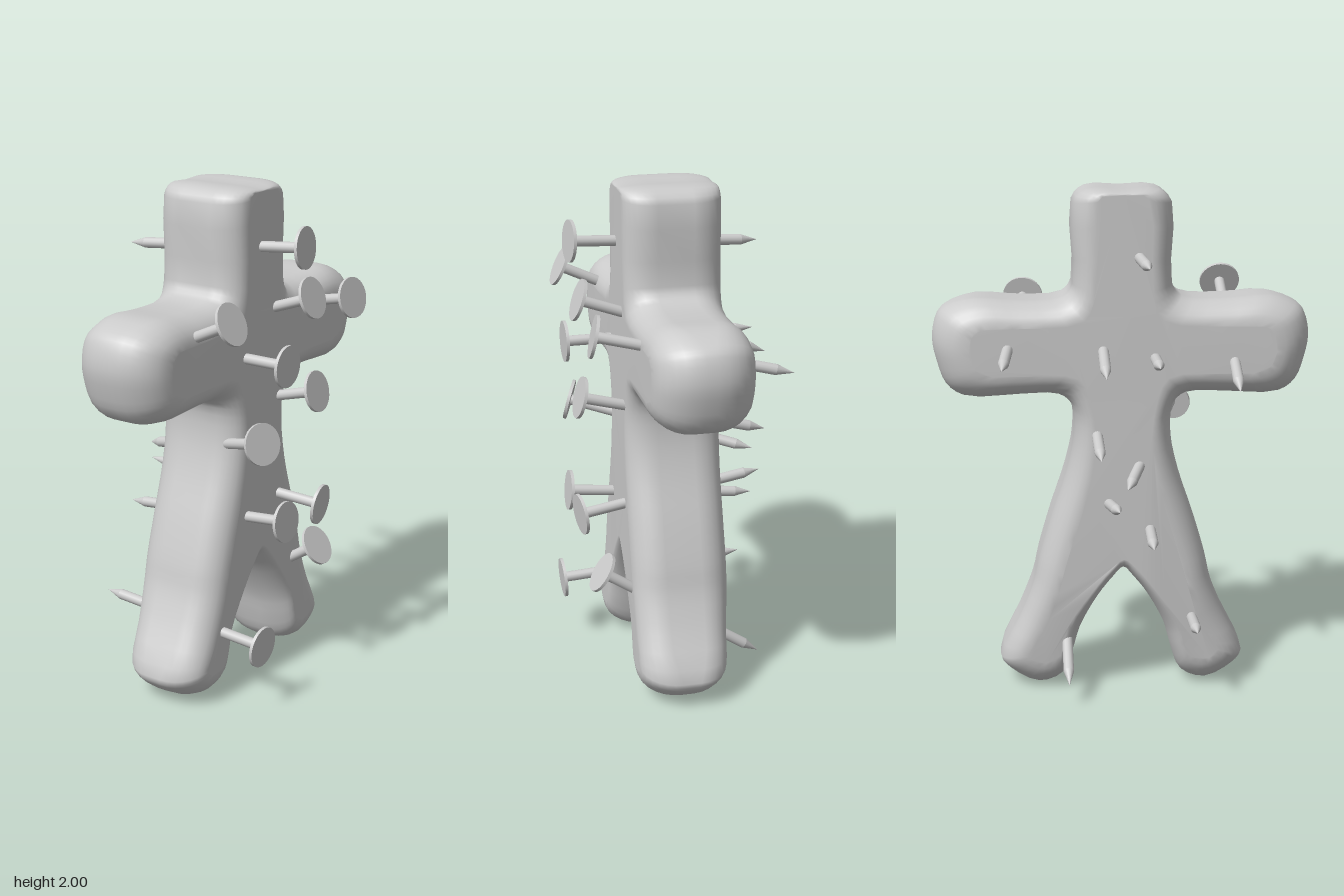
import * as THREE from 'three';

const grey = new THREE.MeshStandardMaterial({ color: 0xcccccc });

// Half outline of the doll, top of head to crotch:
// [x, y] on the widest contour, then [x, y] on the flat front and back faces
const HALF = [
  [0, 2.0, 0, 1.985], [0.14, 2.0, 0.07, 1.985], [0.19, 1.95, 0.10, 1.96], [0.192, 1.64, 0.11, 1.62],
  [0.23, 1.59, 0.15, 1.51], [0.40, 1.578, 0.38, 1.485], [0.57, 1.588, 0.50, 1.485], [0.68, 1.555, 0.56, 1.475],
  [0.715, 1.52, 0.58, 1.45], [0.735, 1.43, 0.59, 1.40], [0.72, 1.34, 0.58, 1.35], [0.685, 1.25, 0.56, 1.32],
  [0.62, 1.207, 0.50, 1.30], [0.40, 1.212, 0.36, 1.30], [0.25, 1.21, 0.17, 1.285], [0.20, 1.17, 0.12, 1.16],
  [0.19, 1.05, 0.11, 1.05], [0.22, 0.90, 0.13, 0.88], [0.28, 0.72, 0.18, 0.70], [0.33, 0.55, 0.23, 0.54],
  [0.355, 0.44, 0.26, 0.42], [0.41, 0.30, 0.32, 0.26], [0.49, 0.12, 0.38, 0.16], [0.46, 0.07, 0.36, 0.13],
  [0.34, 0.005, 0.31, 0.12], [0.24, 0.04, 0.26, 0.14], [0.20, 0.14, 0.24, 0.19], [0.17, 0.25, 0.22, 0.28],
  [0.10, 0.385, 0.13, 0.42], [0.04, 0.465, 0.05, 0.52], [0, 0.505, 0, 0.56],
];

// Closed smooth contour through both halves, counter-clockwise from the front
function contour(k) {
  const right = HALF.map((p) => new THREE.Vector3(p[k], p[k + 1], 0));
  const left = right.slice(1, -1).reverse().map((p) => new THREE.Vector3(-p.x, p.y, 0));
  const pts = [...right, ...left].reverse();
  const curve = new THREE.CatmullRomCurve3(pts, true);
  const n = pts.length * 3;
  return Array.from({ length: n }, (_, i) => curve.getPoint(i / n));
}

// Depth of the rounding: deeper at the hands and feet, so that they taper
function roundingDepth(p) {
  const hand = THREE.MathUtils.smoothstep(Math.abs(p.x), 0.5, 0.73);
  const foot = 1 - THREE.MathUtils.smoothstep(p.y, 0.03, 0.25);
  return 0.12 + 0.05 * Math.max(hand, foot);
}

// Body: layers from front to back, rounded over at both faces
function bodyGeometry() {
  const outer = contour(0), inner = contour(2), n = outer.length, steps = 7;
  const layers = [];
  for (let s = 0; s <= steps; s++) layers.push([0.195, s]);
  for (let s = steps; s >= 0; s--) layers.push([-0.185, s]);
  const pos = [], index = [];
  for (const [face, s] of layers) {
    const a = (s / steps) * Math.PI / 2;
    for (let i = 0; i < n; i++) {
      const p = inner[i].clone().lerp(outer[i], Math.sin(a));
      const z = face - Math.sign(face) * roundingDepth(outer[i]) * (1 - Math.cos(a));
      // the lower legs are slightly thinner at the back
      const thin = z < 0 ? 1 - 0.2 * (1 - THREE.MathUtils.smoothstep(p.y, 0.05, 0.5)) : 1;
      pos.push(p.x, p.y, z * thin);
    }
  }
  for (let k = 0; k < layers.length - 1; k++) {
    for (let i = 0; i < n; i++) {
      const a = k * n + i, b = k * n + (i + 1) % n, c = a + n, d = b + n;
      index.push(a, c, b, b, c, d);
    }
  }
  const last = (layers.length - 1) * n;
  for (const [a, b, c] of THREE.ShapeUtils.triangulateShape(inner.map((p) => new THREE.Vector2(p.x, p.y)), [])) {
    index.push(a, b, c, last + a, last + c, last + b);
  }
  const geo = new THREE.BufferGeometry();
  geo.setAttribute('position', new THREE.Float32BufferAttribute(pos, 3));
  geo.setIndex(index);
  geo.computeVertexNormals();
  return geo;
}

// Nails: centre of the head, then the point behind the back
const NAILS = [
  [0, 1.79, 0.38, -0.08, 1.735, -0.385],
  [-0.43, 1.585, 0.345, -0.425, 1.265, -0.355],
  [0.08, 1.583, 0.365, 0.08, 1.325, -0.38],
  [0.375, 1.525, 0.365, 0.47, 1.36, -0.375],
  [-0.12, 1.36, 0.385, -0.12, 1.365, -0.385],
  [0.115, 1.205, 0.37, 0.10, 1.01, -0.38],
  [-0.235, 1.08, 0.35, 0, 0.89, -0.36],
  [-0.11, 0.735, 0.38, -0.10, 0.66, -0.385],
  [0.14, 0.73, 0.38, 0.03, 0.81, -0.38],
  [0.225, 0.515, 0.315, 0.225, 0.095, -0.33],
  [-0.275, 0.27, 0.385, -0.27, 0.32, -0.385],
];

function makeNail([hx, hy, hz, tx, ty, tz]) {
  const nail = new THREE.Group();
  nail.name = 'nail';
  const head = new THREE.Vector3(hx, hy, hz), tip = new THREE.Vector3(tx, ty, tz);
  const length = head.distanceTo(tip), point = 0.07;
  const add = (name, geo, y) => {
    const mesh = new THREE.Mesh(geo, grey);
    mesh.name = name;
    mesh.position.y = y;
    nail.add(mesh);
  };
  add('nailHead', new THREE.CylinderGeometry(0.081, 0.081, 0.012, 28), -0.006);
  add('nailShaft', new THREE.CylinderGeometry(0.021, 0.021, length - point, 14), -(length - point) / 2);
  add('nailPoint', new THREE.ConeGeometry(0.021, point, 14).rotateX(Math.PI), -length + point / 2);
  nail.position.copy(head);
  nail.quaternion.setFromUnitVectors(new THREE.Vector3(0, 1, 0), head.clone().sub(tip).normalize());
  return nail;
}

export function createModel() {
  const model = new THREE.Group();
  model.name = 'pinnedDoll';
  const body = new THREE.Mesh(bodyGeometry(), grey);
  body.name = 'body';
  model.add(body);
  const nails = new THREE.Group();
  nails.name = 'nails';
  NAILS.forEach((n) => nails.add(makeNail(n)));
  model.add(nails);
  return model;
}
